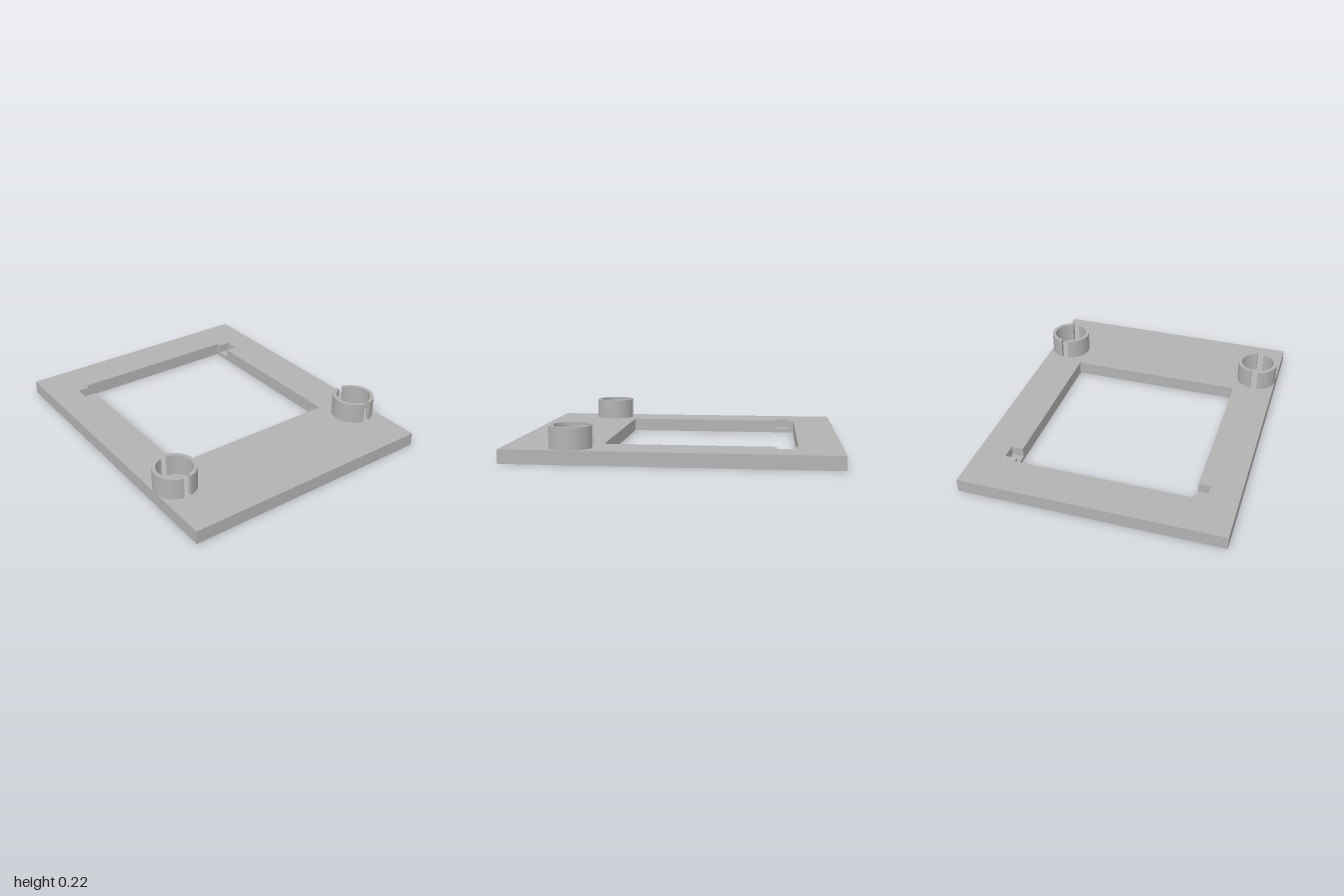
import * as THREE from 'three';
import { toCreasedNormals } from 'three/addons/utils/BufferGeometryUtils.js';

const HALF_W = 0.825, PLATE_H = 0.085, NOTCH_FLOOR = 0.025;
const CLIP_X = 0.693, CLIP_Z = 0.59, CLIP_H = 0.133;
const R_OUT = 0.132, R_IN = 0.109, HALF_GAP = 0.022;

const points = (list) => list.map(([x, z]) => new THREE.Vector2(x, -z));

// Extrude a plan drawing upwards, from y = 0
function extrudeUp(shape, height, curveSegments = 1) {
  const geo = new THREE.ExtrudeGeometry(shape, { depth: height, bevelEnabled: false, curveSegments });
  geo.rotateX(-Math.PI / 2);
  return toCreasedNormals(geo, Math.PI / 6);
}

// Rectangular frame with the given opening outline
function frameShape(opening) {
  const shape = new THREE.Shape(points([[-HALF_W, 1], [HALF_W, 1], [HALF_W, -1], [-HALF_W, -1]]));
  shape.holes.push(new THREE.Path(points(opening)));
  return shape;
}

// One half of a split ring, on the +x side of a straight slot
function halfRingShape() {
  const a = Math.acos(HALF_GAP / R_OUT), b = Math.acos(HALF_GAP / R_IN);
  const shape = new THREE.Shape();
  shape.absarc(0, 0, R_OUT, -a, a, false);
  shape.absarc(0, 0, R_IN, b, -b, true);
  shape.closePath();
  return shape;
}

export function createModel() {
  const model = new THREE.Group();
  model.name = 'mountingFrame';
  const grey = new THREE.MeshStandardMaterial({ color: 0xb2b2b2 });
  grey.name = 'plain grey';

  const add = (parent, geo, name, y) => {
    const mesh = new THREE.Mesh(geo, grey);
    mesh.name = name;
    mesh.position.y = y;
    parent.add(mesh);
    return mesh;
  };

  // Plate: plain lower layer, and upper layer with two side notches
  const x = 0.563, back = -0.74, front = 0.42, nx = 0.638, n0 = -0.71, n1 = -0.615;
  const plain = [[-x, back], [x, back], [x, front], [-x, front]];
  const notched = [
    [-x, back], [x, back], [x, n0], [nx, n0], [nx, n1], [x, n1],
    [x, front], [-x, front], [-x, n1], [-nx, n1], [-nx, n0], [-x, n0],
  ];
  add(model, extrudeUp(frameShape(plain), NOTCH_FLOOR), 'plateBase', 0);
  add(model, extrudeUp(frameShape(notched), PLATE_H - NOTCH_FLOOR), 'plateTop', NOTCH_FLOOR);

  // Split ring clips near the front corners
  const halfRing = extrudeUp(halfRingShape(), CLIP_H, 32);
  for (const side of [-1, 1]) {
    const clip = new THREE.Group();
    clip.name = side > 0 ? 'leftClip' : 'rightClip';
    clip.position.set(side * CLIP_X, PLATE_H, CLIP_Z);
    add(clip, halfRing, 'clipHalf', 0);
    add(clip, halfRing, 'clipHalf', 0).rotation.y = Math.PI;
    model.add(clip);
  }
  return model;
}
